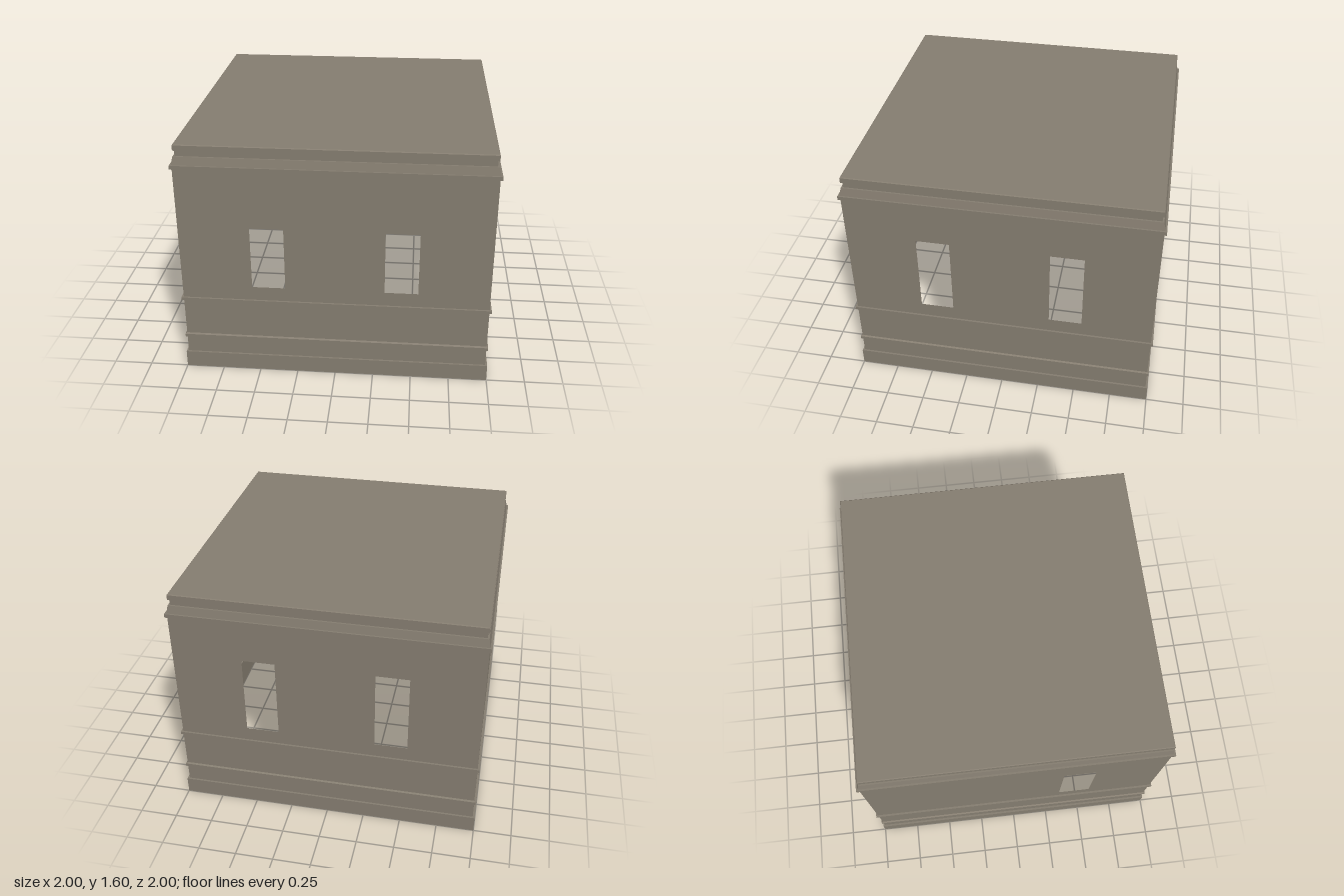
import * as THREE from 'three';

const WALL = 0.987;                 // half width of the plain wall
const WALL_BOTTOM = 0.535, WALL_TOP = 1.441;

// Square ring swept from a [half width, height] profile, with flat faces
function squareLathe(profile) {
  const points = profile.map(([r, y]) => new THREE.Vector2(r * Math.SQRT2, y));
  const geometry = new THREE.LatheGeometry(points, 4, Math.PI / 4).toNonIndexed();
  geometry.computeVertexNormals();
  return geometry;
}

// Flat wall panel with window openings centred at the given x positions
function wallPanel(windows) {
  const rect = (path, x0, y0, x1, y1) =>
    path.moveTo(x0, y0).lineTo(x1, y0).lineTo(x1, y1).lineTo(x0, y1).closePath();
  const shape = rect(new THREE.Shape(), -WALL, WALL_BOTTOM, WALL, WALL_TOP);
  for (const x of windows) {
    shape.holes.push(rect(new THREE.Path(), x - 0.107, 0.63, x + 0.107, 1.17));
  }
  return new THREE.ShapeGeometry(shape).translate(0, 0, WALL);
}

export function createModel() {
  const model = new THREE.Group();
  model.name = 'building';
  const stone = new THREE.MeshStandardMaterial({ color: 0x857d70, side: THREE.DoubleSide });
  stone.name = 'stone';

  const add = (name, geometry) => {
    const mesh = new THREE.Mesh(geometry, stone);
    mesh.name = name;
    model.add(mesh);
    return mesh;
  };

  // Plinth and the two string courses, open underneath
  add('base', squareLathe([
    [1, 0], [1, 0.112], [WALL, 0.112],
    [WALL, 0.23], [0.997, 0.23], [0.997, 0.25], [WALL, 0.257],
    [WALL, 0.51], [1, 0.515], [1, 0.535], [WALL, 0.535],
  ]));

  // Four walls, the left one with a single window
  const sides = [
    ['frontWall', 0, [-0.425, 0.425]],
    ['leftWall', Math.PI / 2, [-0.425, 0.425]],
    ['backWall', Math.PI, [-0.425, 0.425]],
    ['rightWall', -Math.PI / 2, [0.425]],
  ];
  for (const [name, turn, windows] of sides) add(name, wallPanel(windows)).rotation.y = turn;

  // Stepped cornice
  add('cornice', squareLathe([
    [WALL, 1.441], [1, 1.441], [1, 1.466], [0.989, 1.466],
    [0.978, 1.518], [0.967, 1.518], [0.967, 1.556], [0.977, 1.556], [0.977, 1.59],
  ]));

  // Flat roof with a slight chamfer
  add('roof', squareLathe([[0.977, 1.59], [0.972, 1.595], [0, 1.595]]));
  return model;
}
